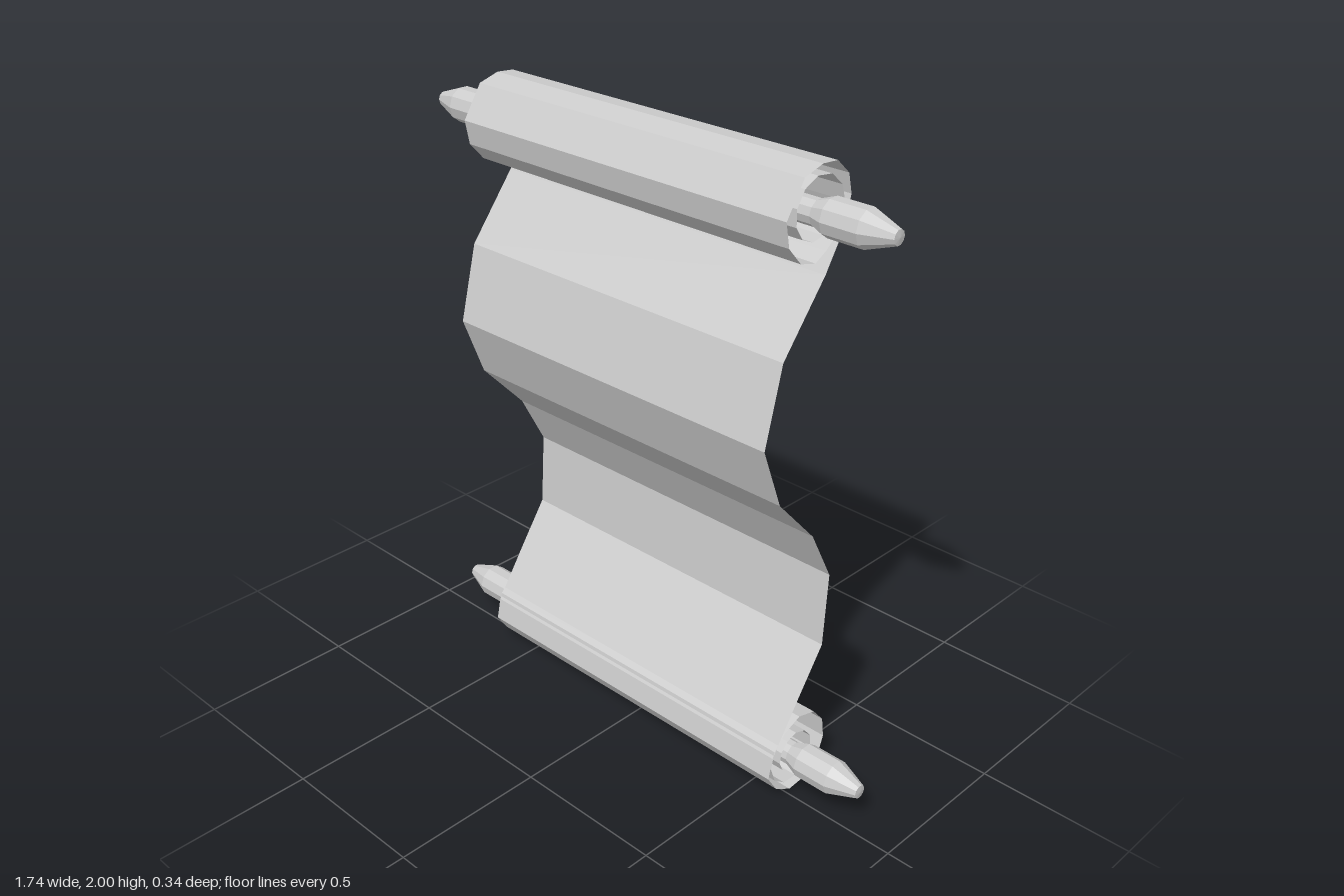
import * as THREE from 'three';

const grey = new THREE.MeshStandardMaterial({ color: 0xcccccc, flatShading: true });
const paper = new THREE.MeshStandardMaterial({ color: 0xcccccc, flatShading: true, side: THREE.DoubleSide });

const X0 = -0.625, X1 = 0.61; // side edges of the sheet
const TOP = [-0.01, 1.873], BOTTOM = [-0.03, 0.133]; // rod centres as [z, y]

// Inner coil: angles in degrees from +z towards +y, radius shrinking towards the rod
function coil([z, y], startDeg, turnDeg, r0, r1, steps) {
  const points = [];
  for (let i = 0; i <= steps; i++) {
    const t = i / steps;
    const a = THREE.MathUtils.degToRad(startDeg + turnDeg * t);
    const r = THREE.MathUtils.lerp(r0, r1, t);
    points.push([z + r * Math.cos(a), y + r * Math.sin(a)]);
  }
  return points;
}

// Thin sheet swept across x from a [z, y] profile
function sheetGeometry(profile) {
  const positions = [];
  const indices = [];
  profile.forEach(([z, y], i) => {
    positions.push(X0, y, z, X1, y, z);
    if (i > 0) {
      const a = 2 * i - 2;
      indices.push(a, a + 2, a + 1, a + 1, a + 2, a + 3);
    }
  });
  const g = new THREE.BufferGeometry();
  g.setAttribute('position', new THREE.Float32BufferAttribute(positions, 3));
  g.setIndex(indices);
  const flat = g.toNonIndexed();
  flat.computeVertexNormals();
  return flat;
}

// Rod with a tapered handle at both ends
function makeRod(name, [z, y]) {
  const half = [[0, 0.87], [0.022, 0.867], [0.055, 0.775], [0.055, 0.66], [0.038, 0.615]];
  const mirrored = half.map(([r, x]) => [r, -x]);
  const profile = [...mirrored, ...half.slice().reverse()].map(([r, x]) => new THREE.Vector2(r, x));
  const rod = new THREE.Mesh(new THREE.LatheGeometry(profile, 10), grey);
  rod.name = name;
  rod.rotation.z = -Math.PI / 2;
  rod.position.set(-0.004, y, z);
  return rod;
}

export function createModel() {
  const group = new THREE.Group();
  group.name = 'scroll';

  const profile = [
    // top roll, from the inside out
    ...coil(TOP, 250, -460, 0.122, 0.06, 14).reverse(),
    [-0.01, 1.735], [0.05, 1.75], [0.1, 1.805], [0.115, 1.88], [0.05, 1.98],
    [-0.02, 2.0], [-0.08, 1.995], [-0.13, 1.95], [-0.145, 1.89], [-0.122, 1.8],
    // hanging wave
    [-0.055, 1.69], [0.103, 1.49], [0.165, 1.25], [0.09, 1.055], [-0.065, 0.89],
    [-0.155, 0.72], [-0.14, 0.48], [-0.04, 0.335],
    // bottom roll, from the outside in
    [0.07, 0.17], [0.085, 0.1], [0.045, 0.04], [-0.02, 0.002], [-0.09, 0.008],
    [-0.15, 0.05], [-0.175, 0.12], [-0.165, 0.19], [-0.12, 0.243], [-0.05, 0.262],
    ...coil(BOTTOM, 65, -460, 0.112, 0.06, 14),
  ];

  const sheet = new THREE.Mesh(sheetGeometry(profile), paper);
  sheet.name = 'paperSheet';
  group.add(sheet, makeRod('topRod', TOP), makeRod('bottomRod', BOTTOM));
  return group;
}
